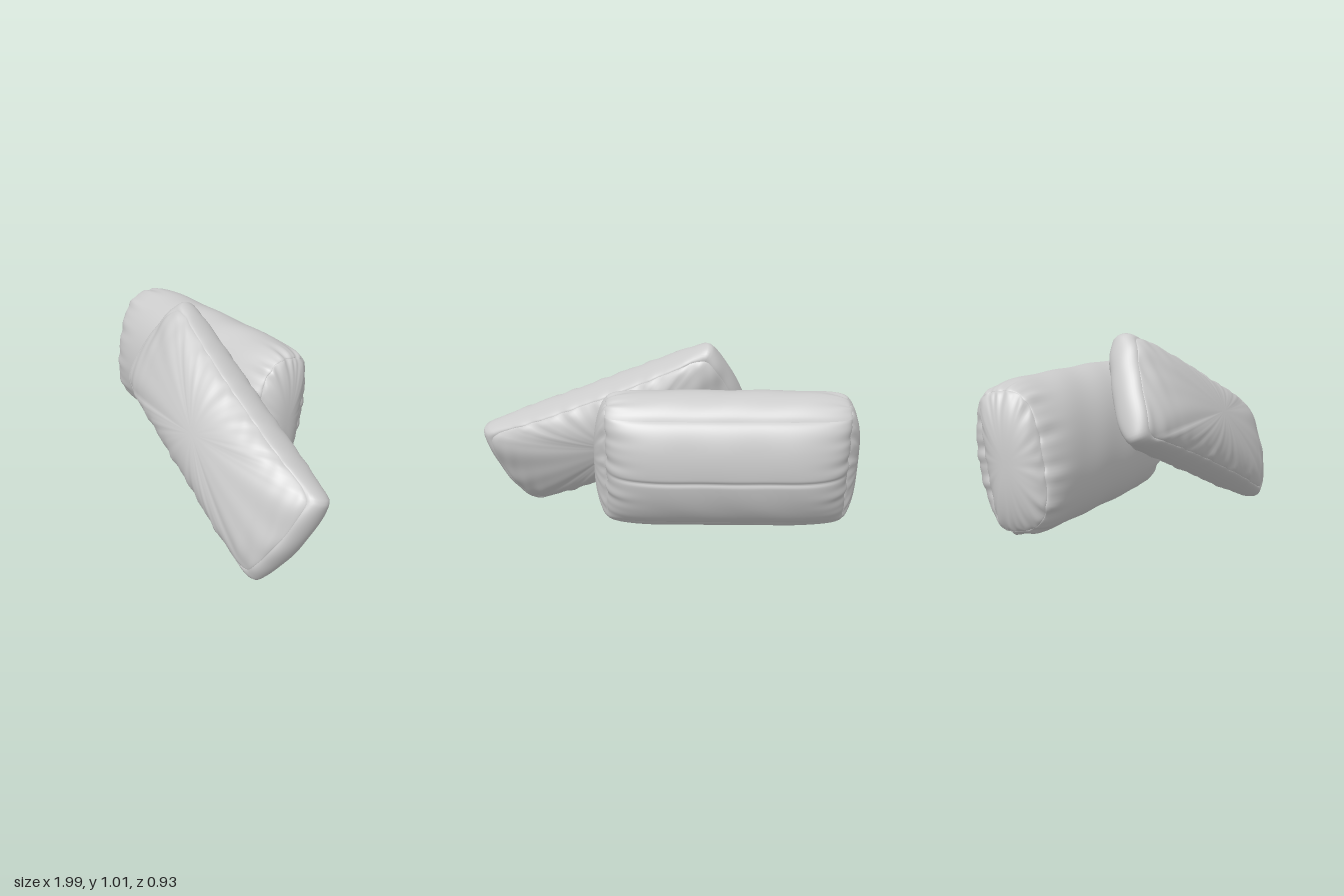
import * as THREE from 'three';
import { ParametricGeometry } from 'three/addons/geometries/ParametricGeometry.js';
import { mergeVertices } from 'three/addons/utils/BufferGeometryUtils.js';

const material = new THREE.MeshStandardMaterial({ color: 0xcccccc, roughness: 0.8 });

// One cloth panel: a smooth grid from a rule; its edges stay creased against other panels.
function panel(name, rule, slices, stacks) {
  let geo = new ParametricGeometry(rule, slices, stacks);
  geo.deleteAttribute('normal');
  geo.deleteAttribute('uv');
  geo = mergeVertices(geo, 1e-5);
  geo.computeVertexNormals();
  const mesh = new THREE.Mesh(geo, material);
  mesh.name = name;
  return mesh;
}

const ease = (v) => Math.sin((v * Math.PI) / 2); // denser towards 1
const ruffle = (x, y) => 0.6 * Math.sin(41 * x + 9 * y) + 0.5 * Math.sin(67 * x + 33 * y + 2) + 0.3 * Math.sin(23 * y - 15 * x);
const nearEdge = (r) => Math.pow(r, 10) * Math.max(0, 1 - Math.pow(r, 20));

// Unit superellipse point at an angle; a higher p gives squarer corners.
function squircle(angle, p) {
  const c = Math.cos(angle), s = Math.sin(angle);
  const k = Math.pow(Math.abs(c) ** p + Math.abs(s) ** p, -1 / p);
  return [c * k, s * k];
}

// Flat box cushion: two puffed faces joined by a narrow side band with pointed corners.
function boxCushion() {
  const group = new THREE.Group();
  group.name = 'frontCushion';

  const outline = (angle, p, a, b) => {
    const [x, y] = squircle(angle, p);
    return [a * x * (1 + 0.055 * (1 - y * y)), b * y * (1 - 0.05 * (1 - x * x))];
  };
  const seamHeight = (angle) => {
    const [x, y] = squircle(angle, 14);
    const [sx, sy] = outline(angle, 14, 0.64, 0.275);
    return 0.085 - 0.03 * Math.abs(x * y) ** 4 + 0.004 * ruffle(sx, sy);
  };

  for (const side of [1, -1]) {
    group.add(panel(side > 0 ? 'frontFace' : 'backFace', (u, v, out) => {
      const angle = u * Math.PI * 2;
      const r = ease(side > 0 ? 1 - v : v);
      const [x, y] = outline(angle, 2 + 12 * r ** 3, 0.64 * r, 0.275 * r);
      const puff = 0.108 * Math.max(0, 1 - r ** 2.4) ** 0.75;
      const z = seamHeight(angle) * r ** 2 + 0.085 * (1 - r ** 2) + puff + 0.012 * nearEdge(r) * ruffle(x, y);
      out.set(x, y, side * z);
    }, 200, 44));
  }

  group.add(panel('sideBand', (u, v, out) => {
    const angle = u * Math.PI * 2;
    const q = -Math.cos(v * Math.PI);
    const bulge = Math.max(0, 1 - q * q) ** 0.6;
    const seam = outline(angle, 14, 0.64, 0.275);
    const ridge = outline(angle, 30, 0.68, 0.297);
    const k = bulge * (1 + 0.12 * ruffle(seam[0], seam[1]) * (1 - bulge));
    out.set(
      THREE.MathUtils.lerp(seam[0], ridge[0], k),
      THREE.MathUtils.lerp(seam[1], ridge[1], k),
      q * seamHeight(angle)
    );
  }, 200, 16));
  return group;
}

// Thick bolster: a rounded front panel, a seamed back panel and two domed D-shaped ends.
function bolsterCushion() {
  const group = new THREE.Group();
  group.name = 'backCushion';
  const HALF = 0.6, SPLIT = 0.7, CORNER = Math.acos(-0.6);

  // Point on the wrap: s runs -1..1 along the length, t runs once round the section.
  const wrap = (s, t, out) => {
    const end = Math.abs(s);
    const full = Math.max(0, 1 - end ** 6) ** 0.6;
    const section = (angle) => {
      const [c0, s0] = squircle(angle, 3);
      const [c1, s1] = squircle(angle, 2.05);
      const endDepth = c0 > 0 ? 0.185 : 0.15;
      return [
        THREE.MathUtils.lerp(c0 * endDepth, c1 * 0.252, full),
        THREE.MathUtils.lerp(s0 * 0.32, s1 * 0.367, full),
      ];
    };
    let z, y;
    if (t <= SPLIT) {
      [z, y] = section(CORNER * ((2 * t) / SPLIT - 1));
    } else {
      const v = 1 - (2 * (t - SPLIT)) / (1 - SPLIT);
      const [cz, cy] = section(CORNER);
      y = cy * v;
      z = cz - (0.015 + 0.092 * full) * Math.max(0, 1 - v * v) ** 0.8;
      z += 0.008 * full * Math.exp(-((v / 0.035) ** 2)); // cross seam
    }
    // long seams pull inwards, cloth gathers near the end seams
    const gap = Math.min(t, 1 - t, Math.abs(t - SPLIT));
    const gather = Math.sin(t * 2 * Math.PI * 17) + 0.6 * Math.sin(t * 2 * Math.PI * 29 + 1);
    const calm = Math.min(1, gap * 15);
    const k = 1 - 0.03 * full * Math.exp(-gap / 0.012)
      + 0.035 * nearEdge(end) * gather * calm
      + 0.006 * full * Math.sin(11 * s + 5 * Math.sin(t * 2 * Math.PI)) * calm;
    out.set(s * HALF + Math.sign(s) * end ** 30 * 0.004 * gather * calm, y * k, z * k);
  };

  const lengthwise = (u) => Math.sin(Math.PI * (u - 0.5));
  group.add(panel('frontWrap', (u, v, out) => wrap(lengthwise(u), v * SPLIT, out), 90, 98));
  group.add(panel('backPanel', (u, v, out) => wrap(lengthwise(u), SPLIT + v * (1 - SPLIT), out), 90, 84));

  for (const side of [1, -1]) {
    group.add(panel(side > 0 ? 'leftEnd' : 'rightEnd', (u, v, out) => {
      const r = ease(side > 0 ? v : 1 - v);
      wrap(side, u % 1, out);
      const crinkle = 0.008 * nearEdge(r) * Math.sin(u * 2 * Math.PI * 21);
      out.set(
        THREE.MathUtils.lerp(side * HALF, out.x, r ** 4) + side * (0.072 * Math.max(0, 1 - r ** 2.5) ** 0.75 + crinkle),
        out.y * r,
        THREE.MathUtils.lerp(0.03, out.z, r)
      );
    }, 140, 28));
  }
  return group;
}

export function createModel() {
  const model = new THREE.Group();
  model.name = 'cushionPair';

  const bolster = bolsterCushion();
  bolster.position.set(-0.325, 0.47, -0.21);
  bolster.rotation.x = -0.156;

  // the flat cushion leans back against the bolster with its long side sloping down
  const flat = boxCushion();
  const along = new THREE.Vector3(1.215, -0.515, 0.19).normalize();
  const facing = along.clone().cross(new THREE.Vector3(0.245, 0.485, -0.2)).normalize();
  const up = facing.clone().cross(along);
  flat.quaternion.setFromRotationMatrix(new THREE.Matrix4().makeBasis(along, up, facing));
  flat.position.set(0.255, 0.503, 0.2);

  model.add(bolster, flat);
  return model;
}
